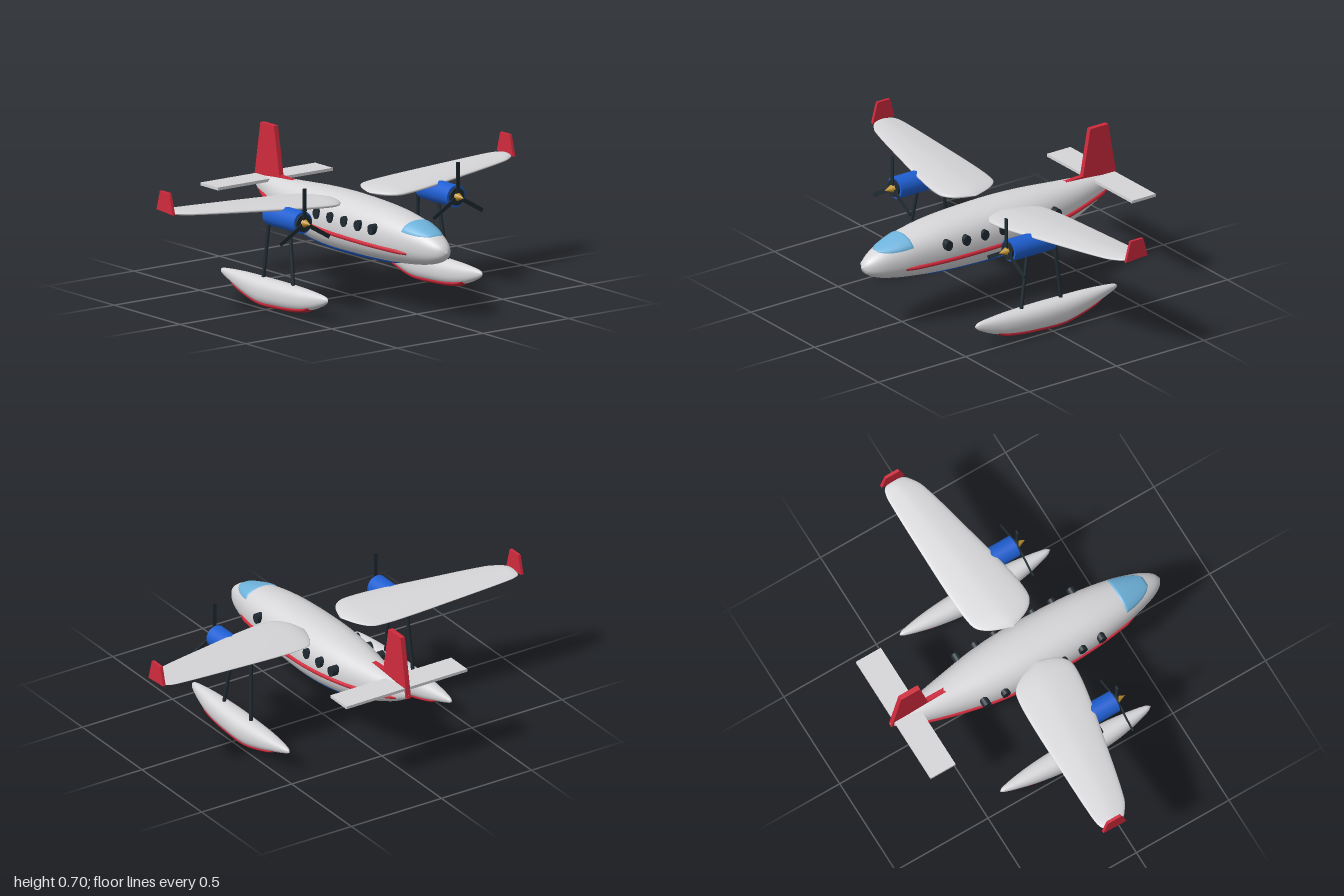
import * as THREE from 'three';

const mat = (name, color) => {
  const m = new THREE.MeshStandardMaterial({ color });
  m.name = name;
  return m;
};
const white = mat('light grey', 0xd6d6d9), red = mat('red', 0xd02a3c), blue = mat('blue', 0x1f5fd2);
const dark = mat('near black', 0x202b32), glass = mat('sky blue', 0x6fb3dc), gold = mat('gold', 0xc0922c);

function add(parent, name, geometry, material, x = 0, y = 0, z = 0) {
  const m = new THREE.Mesh(geometry, material);
  m.name = name;
  m.position.set(x, y, z);
  parent.add(m);
  return m;
}

// Smooth interpolation through rows of [key, ...values], keys increasing
function spline(rows) {
  const slope = (i, k) => {
    const a = rows[Math.max(i - 1, 0)], b = rows[Math.min(i + 1, rows.length - 1)];
    return (b[k] - a[k]) / (b[0] - a[0]);
  };
  return (q) => {
    let i = 0;
    while (i < rows.length - 2 && q > rows[i + 1][0]) i++;
    const a = rows[i], b = rows[i + 1], h = b[0] - a[0];
    const t = THREE.MathUtils.clamp((q - a[0]) / h, 0, 1), t2 = t * t, t3 = t2 * t;
    return a.slice(1).map((_, j) => {
      const k = j + 1;
      return (2 * t3 - 3 * t2 + 1) * a[k] + (t3 - 2 * t2 + t) * h * slope(i, k)
        + (3 * t2 - 2 * t3) * b[k] + (t3 - t2) * h * slope(i + 1, k);
    });
  };
}

// Grid surface from fn(u, v); closed joins the first and last v
function surface(fn, nu, nv, closed) {
  const pos = [], idx = [], cols = closed ? nv : nv + 1;
  for (let i = 0; i <= nu; i++)
    for (let j = 0; j < cols; j++) pos.push(...fn(i / nu, j / nv));
  for (let i = 0; i < nu; i++)
    for (let j = 0; j < nv; j++) {
      const k = (j + 1) % cols;
      const a = i * cols + j, b = a + cols, c = (i + 1) * cols + k, d = i * cols + k;
      idx.push(a, b, c, a, c, d);
    }
  const g = new THREE.BufferGeometry();
  g.setAttribute('position', new THREE.Float32BufferAttribute(pos, 3));
  g.setIndex(idx);
  g.computeVertexNormals();
  return g;
}

// Hull point at z; angle runs from the top towards +x
const pw = (v, p) => Math.sign(v) * Math.abs(v) ** p;
const hullPoint = (hull, z, a, off = 0) => {
  const [bot, top, hw] = hull(z), s = Math.sin(a), c = Math.cos(a);
  return [Math.max(hw, 0) * pw(s, 0.88) + off * s,
    (top + bot) / 2 + (top - bot) / 2 * pw(c, 0.88) + off * c, z];
};
// Stations are packed closer together at both ends
const ease = (u) => (1 - Math.cos(u * Math.PI)) / 2;
const hullGeometry = (hull, z0, z1) =>
  surface((u, v) => hullPoint(hull, z0 + (z1 - z0) * ease(u), v * Math.PI * 2), 48, 40, true);
// Raised skin following a hull, its rim sunk into it
const patch = (hull, z0, z1, mid, halfAngle, off) => surface((u, v) => {
  const e = ease(u), w = v * 2 - 1;
  const rim = Math.min(1, 6 * (1 - Math.abs(w)), 14 * e, 14 * (1 - e));
  return hullPoint(hull, z0 + (z1 - z0) * e, mid + w * halfAngle(e), -0.002 + (off + 0.002) * rim);
}, 36, 28, false);

// Flat plate from a z, y outline, centred on x = 0
function plate(outline, thickness) {
  const shape = new THREE.Shape(outline.map(([z, y]) => new THREE.Vector2(-z, y)));
  const g = new THREE.ExtrudeGeometry(shape, { depth: thickness, bevelEnabled: false });
  return g.translate(0, 0, -thickness / 2).rotateY(Math.PI / 2);
}

function rod(parent, name, from, to, r) {
  const a = new THREE.Vector3(...from), b = new THREE.Vector3(...to), d = b.clone().sub(a);
  const m = add(parent, name, new THREE.CylinderGeometry(r, r, d.length(), 12), dark);
  m.position.copy(a).add(b).multiplyScalar(0.5);
  m.quaternion.setFromUnitVectors(new THREE.Vector3(0, 1, 0), d.normalize());
}

// z, bottom, top, half width
const fuselage = spline([
  [-0.725, 0.41, 0.42, 0.003], [-0.7, 0.388, 0.443, 0.022], [-0.6, 0.335, 0.457, 0.052],
  [-0.4, 0.262, 0.47, 0.098], [-0.2, 0.225, 0.483, 0.133], [0, 0.212, 0.487, 0.145],
  [0.3, 0.222, 0.475, 0.135], [0.5, 0.24, 0.448, 0.108], [0.6, 0.255, 0.42, 0.083],
  [0.67, 0.275, 0.39, 0.058], [0.715, 0.302, 0.358, 0.028], [0.73, 0.33, 0.331, 0]]);
const float = spline([
  [-0.405, 0.107, 0.112, 0], [-0.39, 0.098, 0.122, 0.011], [-0.3, 0.068, 0.13, 0.032],
  [-0.2, 0.036, 0.134, 0.047], [-0.08, 0.01, 0.135, 0.057], [0.05, 0.012, 0.136, 0.059],
  [0.2, 0.024, 0.135, 0.05], [0.3, 0.048, 0.132, 0.035], [0.39, 0.088, 0.124, 0.014],
  [0.41, 0.107, 0.112, 0]]);
// x, leading z, trailing z, thickness
const wing = spline([
  [0.1, 0.003, -0.003, 0.004], [0.13, 0.085, -0.09, 0.026], [0.17, 0.13, -0.15, 0.038],
  [0.22, 0.142, -0.17, 0.042], [0.35, 0.126, -0.181, 0.042], [0.6, 0.07, -0.184, 0.036],
  [0.9, -0.005, -0.183, 0.026], [0.96, -0.04, -0.175, 0.024], [0.985, -0.07, -0.155, 0.016],
  [0.992, -0.112, -0.118, 0.002]]);
const wingGeometry = (s) => surface((u, v) => {
  const x = 0.1 + 0.892 * ease(u), a = s * v * Math.PI * 2, [lead, trail, th] = wing(x);
  const y = 0.473 + 0.04 * (x - 0.1) / 0.89;
  const thin = 1 - 0.5 * Math.max(0, Math.sin(a));
  return [s * x, y + th / 2 * Math.cos(a) * thin, (lead + trail) / 2 - (lead - trail) / 2 * Math.sin(a)];
}, 48, 28, true);

// Side trim line lying on the fuselage
const stripe = spline([[-0.66, 0.388], [-0.6, 0.375], [-0.4, 0.345], [-0.2, 0.33], [0, 0.32], [0.2, 0.315], [0.54, 0.308]]);
function stripeGeometry(s) {
  const pts = [];
  for (let i = 0; i <= 24; i++) {
    const z = -0.66 + 1.2 * i / 24, [y] = stripe(z), [bot, top] = fuselage(z);
    const a = Math.acos(pw((y - (top + bot) / 2) / ((top - bot) / 2), 1 / 0.88));
    const sink = i === 0 || i === 24 ? 0.01 : 0;
    pts.push(new THREE.Vector3(s * (hullPoint(fuselage, z, a)[0] - sink), y, z));
  }
  return new THREE.TubeGeometry(new THREE.CatmullRomCurve3(pts), 72, 0.01, 10);
}

export function createModel() {
  const model = new THREE.Group();
  model.name = 'floatplane';

  // Body
  add(model, 'fuselage', hullGeometry(fuselage, -0.725, 0.73), white);
  add(model, 'canopy', patch(fuselage, 0.495, 0.655, 0, (e) => 1.05 * Math.sqrt(1 - e ** 3), 0.004), glass);
  add(model, 'belly', patch(fuselage, -0.5, 0.45, Math.PI, (e) => 0.3 + 0.45 * Math.sin(e * Math.PI) ** 0.5, 0.004), blue);

  // Tail
  add(model, 'tailFin', plate([[-0.38, 0.465], [-0.53, 0.472], [-0.572, 0.7], [-0.675, 0.7],
    [-0.727, 0.403], [-0.69, 0.41], [-0.55, 0.44]], 0.024), red);
  add(model, 'tailplane', new THREE.BoxGeometry(0.67, 0.014, 0.135), white, 0, 0.445, -0.643);

  for (const s of [1, -1]) {
    const side = new THREE.Group();
    side.name = s > 0 ? 'leftSide' : 'rightSide';
    model.add(side);
    const ex = s * 0.447, ey = 0.445;

    add(side, 'stripe', stripeGeometry(s), red);
    for (let i = 0; i < 7; i++) {
      const w = new THREE.CylinderGeometry(0.021, 0.021, 0.04, 20).rotateZ(Math.PI / 2).scale(1, 1.2, 1);
      add(side, 'window', w, dark, s * 0.128, 0.392, 0.335 - i * 0.104);
    }

    // Wing and tip fin
    add(side, 'wing', wingGeometry(s), white);
    add(side, 'wingtipFin', plate([[-0.054, 0.508], [-0.082, 0.608], [-0.153, 0.608], [-0.178, 0.516]], 0.014),
      red, s * 0.993);

    // Engine and propeller
    add(side, 'engine', new THREE.CylinderGeometry(0.053, 0.053, 0.24, 28).rotateX(Math.PI / 2), blue, ex, ey, 0.095);
    add(side, 'engineFront', new THREE.CylinderGeometry(0.042, 0.042, 0.012, 24).rotateX(Math.PI / 2), dark, ex, ey, 0.219);
    add(side, 'spinner', new THREE.ConeGeometry(0.022, 0.05, 20).rotateX(Math.PI / 2), gold, ex, ey, 0.247);
    for (let k = 0; k < 3; k++) {
      const blade = new THREE.BoxGeometry(0.019, 0.165, 0.006).translate(0, 0.0825, 0);
      add(side, 'propellerBlade', blade, dark, ex, ey, 0.228).rotation.z = k * Math.PI * 2 / 3;
    }

    // Float and struts
    const pontoon = new THREE.Group();
    pontoon.name = 'float';
    pontoon.position.x = s * 0.45;
    side.add(pontoon);
    add(pontoon, 'floatHull', hullGeometry(float, -0.405, 0.41), white);
    add(pontoon, 'floatKeel', patch(float, -0.315, 0.3, Math.PI, () => 0.85, 0.007), red);
    rod(side, 'frontStrut', [s * 0.432, 0.42, 0.094], [s * 0.45, 0.12, 0.146], 0.009);
    rod(side, 'rearStrut', [s * 0.43, 0.48, -0.053], [s * 0.45, 0.12, -0.083], 0.009);
  }
  return model;
}
